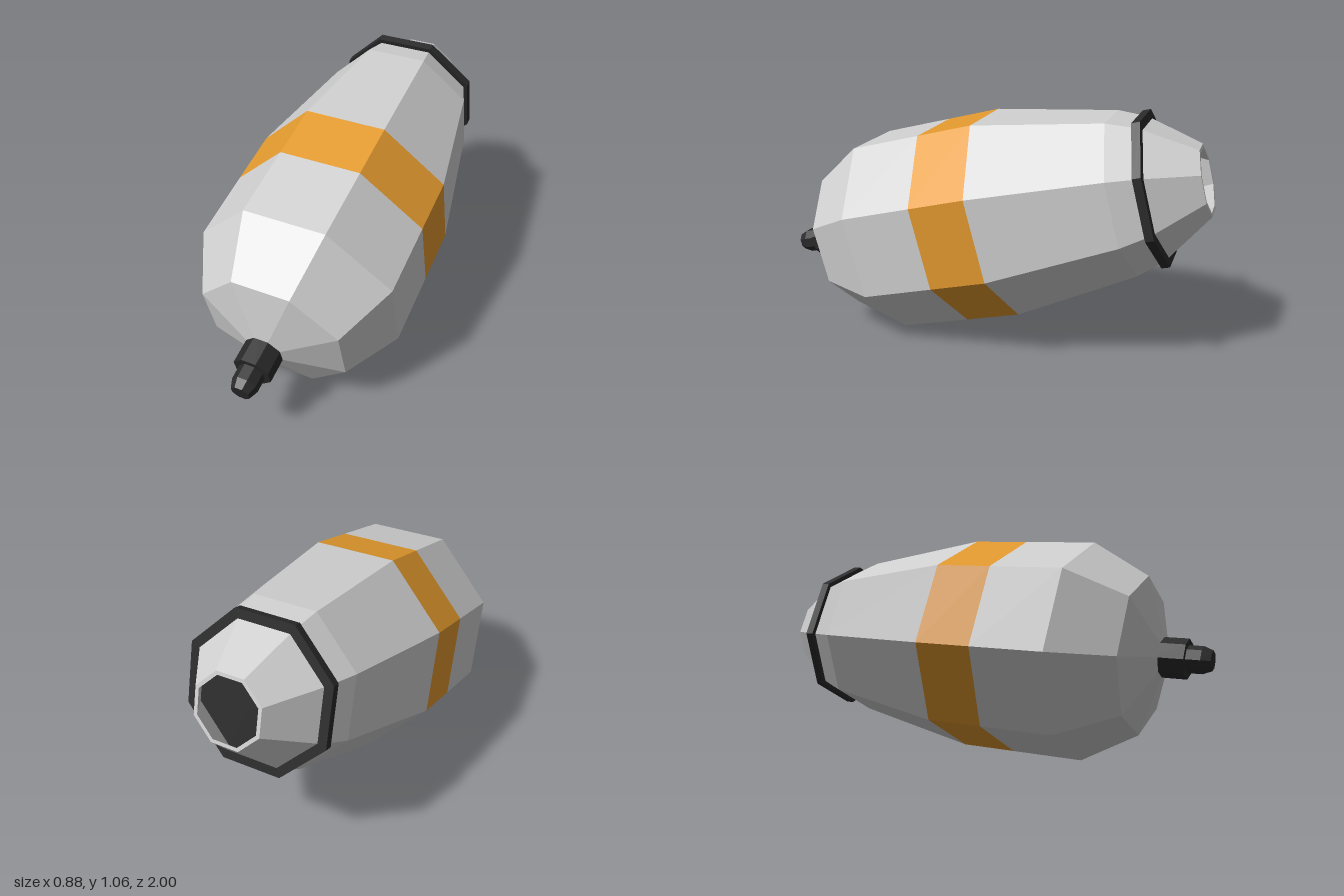
import * as THREE from 'three';

const SIDES = 8;
const R = 1 / Math.cos(Math.PI / SIDES); // apothem -> corner radius

const shellGrey = new THREE.MeshStandardMaterial({ color: 0xd0d0d0 });
shellGrey.name = 'shellGrey';
const bandOrange = new THREE.MeshStandardMaterial({ color: 0xe39a2e });
bandOrange.name = 'bandOrange';
const trimBlack = new THREE.MeshStandardMaterial({ color: 0x2a2a2a });
trimBlack.name = 'trimBlack';

// Faceted eight-sided turned part; profile is [apothem, position along axis]
function turned(name, profile, material) {
  const points = profile.map(([a, s]) => new THREE.Vector2(a * R, s));
  const geometry = new THREE.LatheGeometry(points, SIDES, Math.PI / SIDES).toNonIndexed();
  geometry.computeVertexNormals();
  const mesh = new THREE.Mesh(geometry, material);
  mesh.name = name;
  return mesh;
}

export function createModel() {
  const model = new THREE.Group();
  model.name = 'capsule';

  // Everything is turned about one axis, tipped nose-down
  const body = new THREE.Group();
  body.name = 'body';
  body.rotation.x = THREE.MathUtils.degToRad(105);
  body.position.set(0, 0.578, -0.095);
  model.add(body);

  // Rear shell: inner nozzle wall, rim, outer wall
  body.add(turned('rearShell', [
    [0.262, -0.69], [0.128, -0.897], [0.143, -0.897],
    [0.287, -0.683], [0.334, -0.559], [0.438, 0],
  ], shellGrey));

  // Painted band
  body.add(turned('band', [[0.438, 0], [0.438, 0.255]], bandOrange));

  // Front shell closing to a shallow cone
  body.add(turned('frontShell', [
    [0.438, 0.255], [0.438, 0.583], [0.31, 0.834], [0, 0.946],
  ], shellGrey));

  // Solid collar, also the floor of the nozzle
  body.add(turned('collar', [
    [0, -0.7], [0.314, -0.7], [0.314, -0.664], [0, -0.664],
  ], trimBlack));

  // Stepped nose fitting
  body.add(turned('noseBase', [
    [0, 0.88], [0.078, 0.88], [0.078, 1.024], [0, 1.024],
  ], trimBlack));
  body.add(turned('noseTip', [
    [0.053, 1.02], [0.053, 1.085], [0.039, 1.124], [0, 1.124],
  ], trimBlack));

  return model;
}
